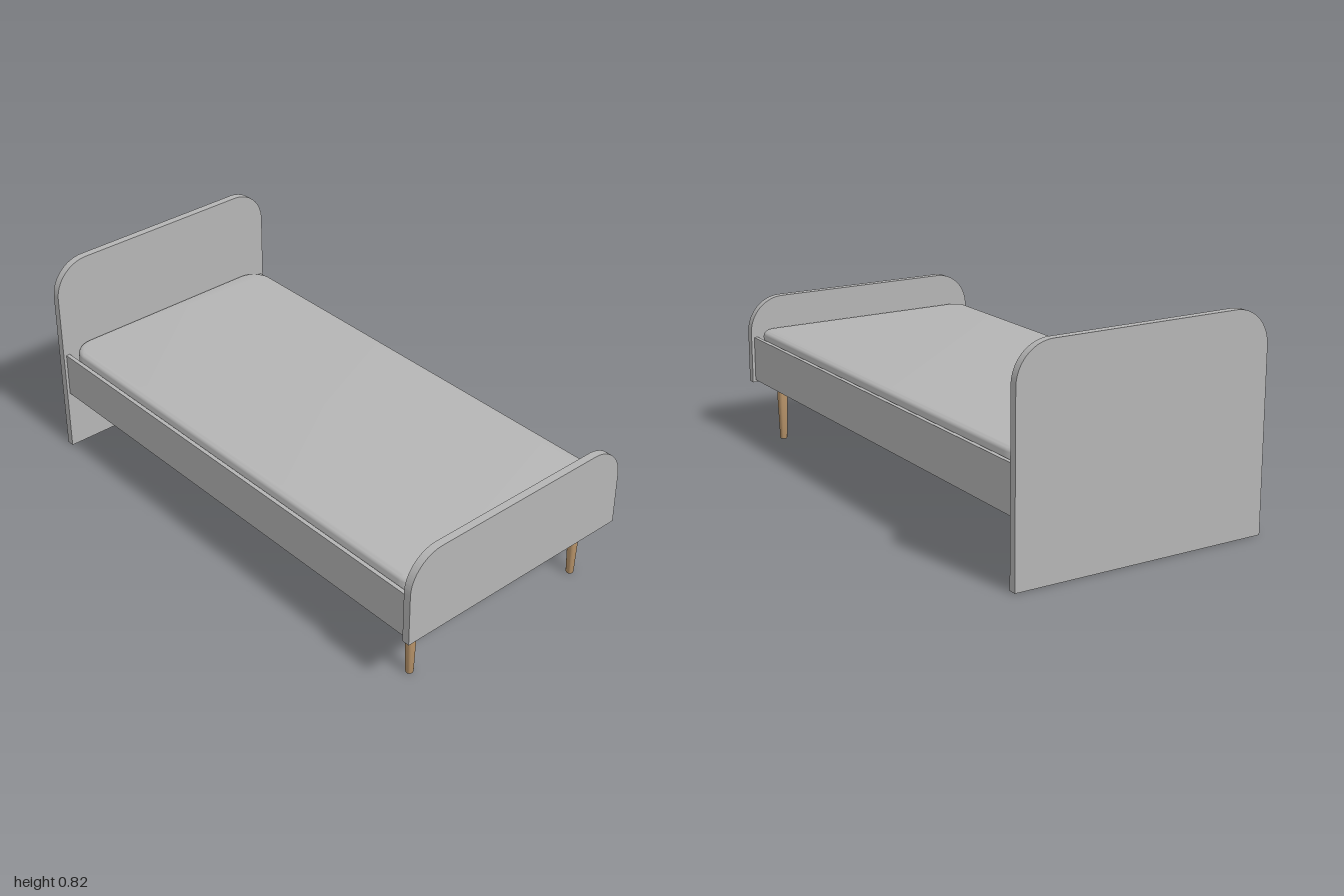
import * as THREE from 'three';
import { toCreasedNormals } from 'three/addons/utils/BufferGeometryUtils.js';

export function createModel() {
  const bed = new THREE.Group();
  bed.name = 'bed';
  const grey = new THREE.MeshStandardMaterial({ color: 0xb5b5b5 });
  grey.name = 'greyPaint';
  const wood = new THREE.MeshStandardMaterial({ color: 0xb8946a });
  wood.name = 'wood';

  const add = (name, geometry, material, x = 0, y = 0, z = 0) => {
    const mesh = new THREE.Mesh(geometry, material);
    mesh.name = name;
    mesh.position.set(x, y, z);
    bed.add(mesh);
  };

  // End panel: square bottom, rounded top corners
  const panel = (bottom, top) => {
    const w = 0.507, r = 0.14;
    const s = new THREE.Shape();
    s.moveTo(-w, bottom);
    s.lineTo(w, bottom);
    s.absarc(w - r, top - r, r, 0, Math.PI / 2);
    s.absarc(-w + r, top - r, r, Math.PI / 2, Math.PI);
    return toCreasedNormals(new THREE.ExtrudeGeometry(s, {
      depth: 0.03, bevelEnabled: false, curveSegments: 16,
    }), 0.6);
  };
  add('headboard', panel(0, 0.822), grey, 0, 0, -1);
  add('footboard', panel(0.237, 0.584), grey, 0, 0, 0.97);

  // Mattress: rounded slab with soft edges, rounder at the head end
  const bevel = 0.022, bottom = 0.27, top = 0.457;
  const a = 0.476 - bevel, b = 0.971 - bevel, foot = 0.04, head = 0.07;
  const plan = new THREE.Shape();
  plan.absarc(-a + foot, -b + foot, foot, Math.PI, Math.PI * 1.5);
  plan.absarc(a - foot, -b + foot, foot, Math.PI * 1.5, Math.PI * 2);
  plan.absarc(a - head, b - head, head, 0, Math.PI / 2);
  plan.absarc(-a + head, b - head, head, Math.PI / 2, Math.PI);
  const slab = new THREE.ExtrudeGeometry(plan, {
    depth: top - bottom - 2 * bevel, bevelSize: bevel, bevelThickness: bevel,
    bevelSegments: 5, curveSegments: 8,
  });
  slab.rotateX(-Math.PI / 2);
  add('mattress', toCreasedNormals(slab, 0.7), grey, 0, bottom + bevel, -0.002);

  // Tapered leg profile
  const profile = [[0, 0], [0.0135, 0], [0.0145, 0.004], [0.02, 0.16], [0.02, 0.25], [0, 0.25]]
    .map(([x, y]) => new THREE.Vector2(x, y));

  for (const side of [-1, 1]) {
    const tag = side > 0 ? 'left' : 'right';
    add(tag + 'SideRail', new THREE.BoxGeometry(0.016, 0.178, 1.944), grey, side * 0.487, 0.335, 0);
    add(tag + 'FrontLeg', toCreasedNormals(new THREE.LatheGeometry(profile, 24), 0.6), wood, side * 0.407, 0, 0.908);

    // Triangular plate holding the leg, its right angle in the footboard corner
    const corner = new THREE.Shape([[0, 0], [-0.15 * side, 0], [0, -0.15]]
      .map(([x, y]) => new THREE.Vector2(x, y)));
    const plate = new THREE.ExtrudeGeometry(corner, { depth: 0.014, bevelEnabled: false });
    plate.rotateX(Math.PI / 2);
    add(tag + 'LegPlate', plate, grey, side * 0.479, 0.261, 0.97);
  }
  return bed;
}
